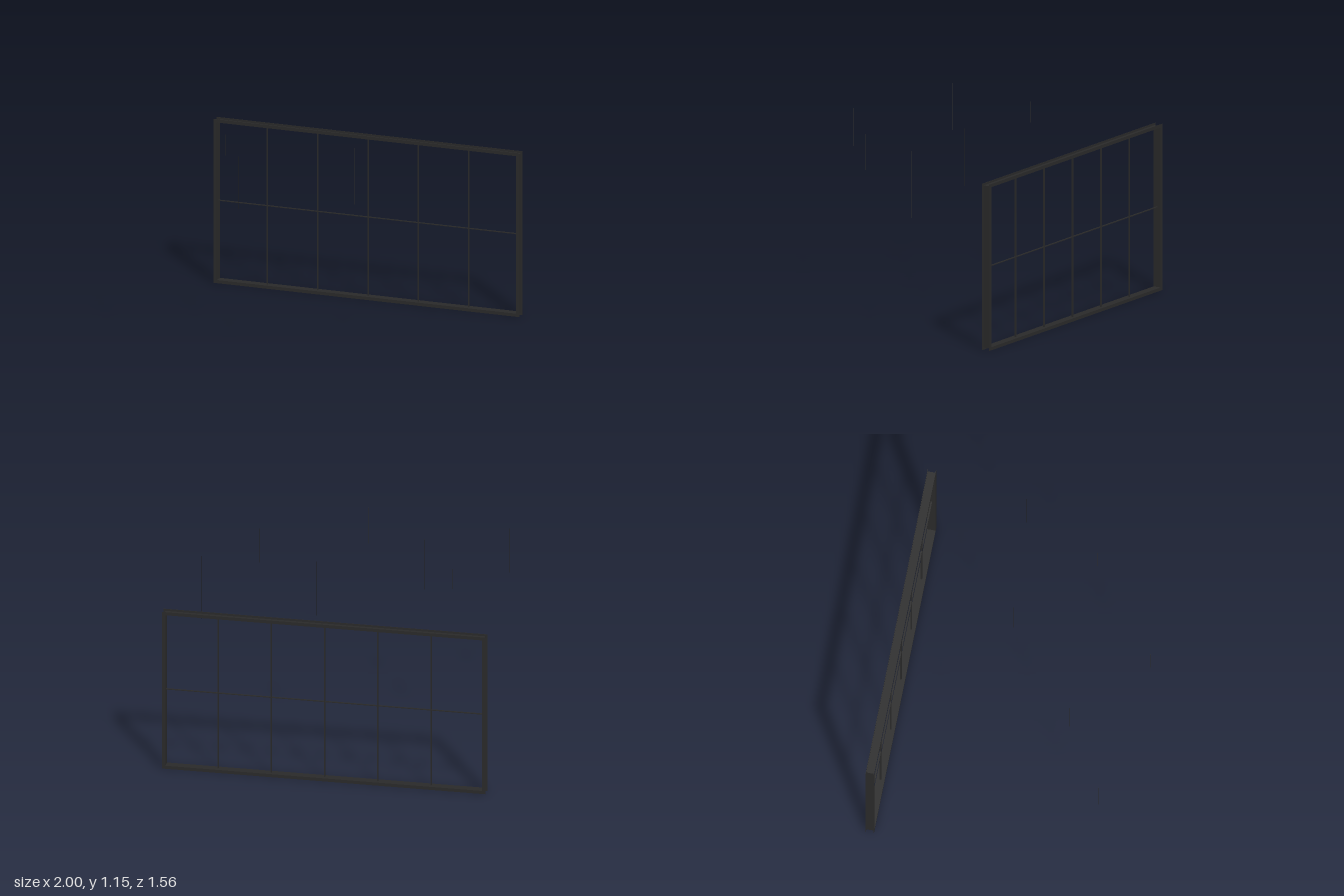
import * as THREE from 'three';

const Z = -0.753;      // centre plane of the window
const DEPTH = 0.052;   // overall frame depth
const MID_Y = 0.516;   // half the frame height

// Rectangular ring centred on the window plane
function ring(name, outX, outY, inX, inY, depth, z, material) {
  const rect = (target, w, h) => target
    .moveTo(-w, -h).lineTo(w, -h).lineTo(w, h).lineTo(-w, h).closePath();
  const shape = rect(new THREE.Shape(), outX, outY);
  shape.holes.push(rect(new THREE.Path(), inX, inY));
  const geo = new THREE.ExtrudeGeometry(shape, { depth, bevelEnabled: false });
  geo.translate(0, MID_Y, z - depth / 2);
  const mesh = new THREE.Mesh(geo, material);
  mesh.name = name;
  return mesh;
}

function bar(name, w, h, d, x, y, material) {
  const mesh = new THREE.Mesh(new THREE.BoxGeometry(w, h, d), material);
  mesh.position.set(x, y, Z);
  mesh.name = name;
  return mesh;
}

export function createModel() {
  const model = new THREE.Group();
  const dark = new THREE.MeshStandardMaterial({ color: 0x2a2a2a });

  // Outer frame: a channel section, open outwards, between two thin flanges
  const frame = new THREE.Group();
  frame.name = 'windowFrame';
  const inX = 0.979, inY = 0.496, flange = 0.002;
  frame.add(ring('frameWeb', 0.988, 0.503, inX, inY, DEPTH - 2 * flange, Z, dark));
  for (const [name, s] of [['frontFlange', 1], ['backFlange', -1]]) {
    frame.add(ring(name, 1, MID_Y, inX, inY, flange, Z + s * (DEPTH - flange) / 2, dark));
  }
  model.add(frame);

  // Glazing bars: five upright, one across
  const bars = new THREE.Group();
  bars.name = 'glazingBars';
  for (let i = -2; i <= 2; i++) {
    bars.add(bar('uprightBar', 0.006, 2 * inY, 0.01, i * 0.329, MID_Y, dark));
  }
  bars.add(bar('crossBar', 2 * inX, 0.005, 0.01, 0, MID_Y, dark));
  model.add(bars);

  // Hanging wires: x, z, bottom, top
  const wires = new THREE.Group();
  wires.name = 'hangingWires';
  const layout = [
    [-0.865, 0.633, 0.855, 1.145],
    [-0.65, -0.057, 1.02, 1.15],
    [-0.395, 0.36, 0.82, 1.15],
    [0.04, 0.777, 0.91, 1.145],
    [0.18, -0.096, 0.79, 1.145],
    [0.62, 0.338, 0.92, 1.145],
    [0.88, -0.148, 0.73, 1.145],
  ];
  for (const [x, z, bottom, top] of layout) {
    const wire = new THREE.Mesh(new THREE.CylinderGeometry(0.0012, 0.0012, top - bottom, 8), dark);
    wire.position.set(x, (bottom + top) / 2, z);
    wire.name = 'wire';
    wires.add(wire);
  }
  model.add(wires);

  return model;
}
